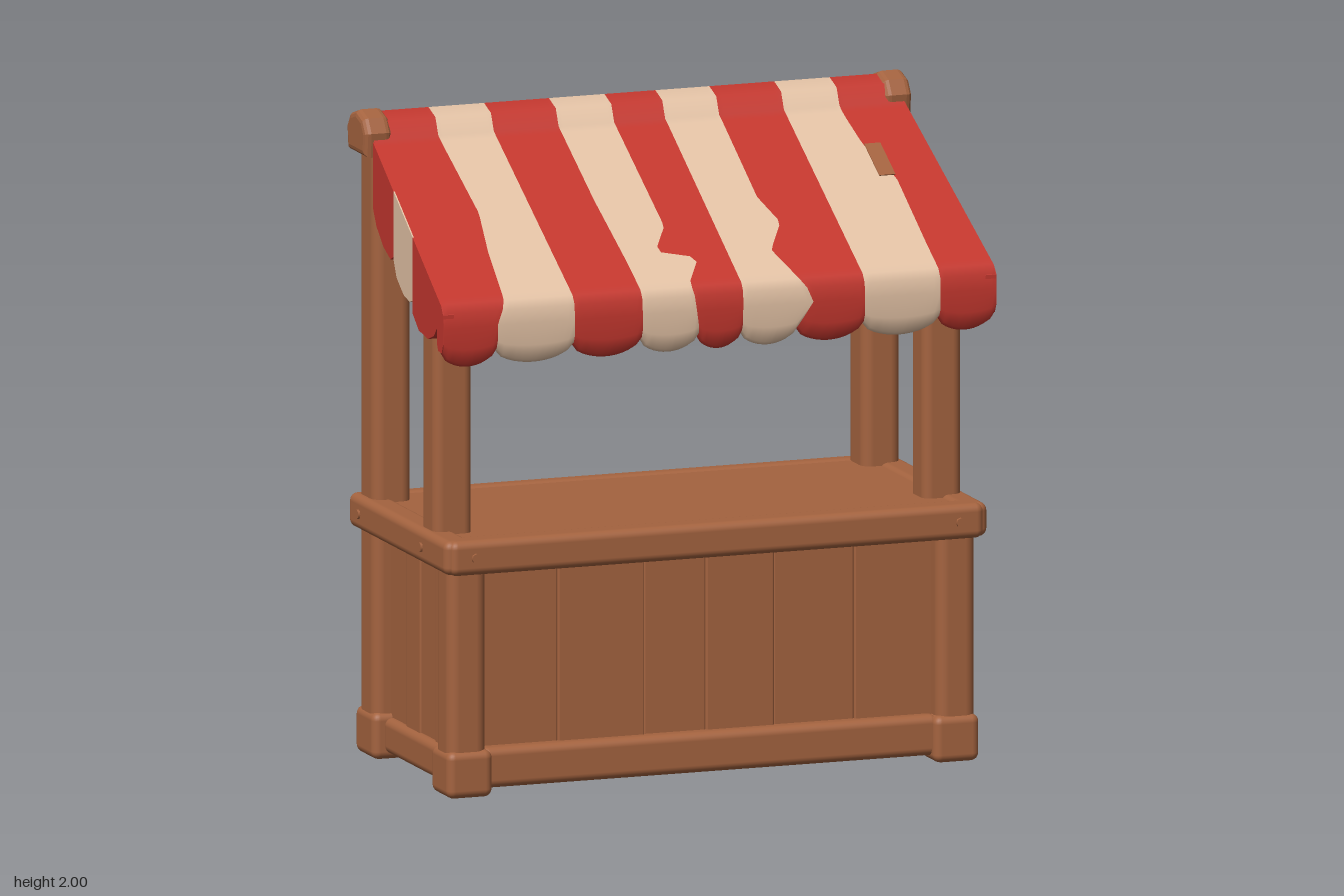
import * as THREE from 'three';
import { RoundedBoxGeometry } from 'three/addons/geometries/RoundedBoxGeometry.js';

const wood = new THREE.MeshStandardMaterial({ color: 0xa4633f });
const red = new THREE.MeshStandardMaterial({ color: 0xc4372e, side: THREE.DoubleSide });
const cream = new THREE.MeshStandardMaterial({ color: 0xe3c2a5, side: THREE.DoubleSide });
wood.name = 'wood';
red.name = 'red cloth';
cream.name = 'cream cloth';

const SLOPE = 0.557;
const roofY = (z) => 1.92 - SLOPE * (z + 0.255);
const halfWidth = (z) => (z < -0.26 ? 0.805 : 0.86 + 0.05 * (z + 0.25));

// Piecewise-linear lookup of x in a list of [y, x] points, y falling
function lookup(points, y) {
  if (y >= points[0][0]) return points[0][1];
  for (let i = 1; i < points.length; i++) {
    const [y0, x0] = points[i - 1], [y1, x1] = points[i];
    if (y >= y1) return x0 + (x1 - x0) * (y0 - y) / (y0 - y1);
  }
  return points[points.length - 1][1];
}

// Stripe borders from right to left, some of them ragged
const borders = [
  [[1.9, -0.65], [1.74, -0.64], [1.65, -0.67], [1.55, -0.69], [1.47, -0.72]],
  [[2, -0.47]],
  [[1.9, -0.26], [1.75, -0.26], [1.6, -0.25]],
  [[1.9, -0.08], [1.68, -0.08], [1.625, -0.145], [1.605, -0.02], [1.55, -0.085], [1.4, -0.065]],
  [[1.9, 0.085], [1.45, 0.075]],
  [[1.9, 0.26], [1.73, 0.255], [1.67, 0.29], [1.61, 0.22], [1.54, 0.265], [1.48, 0.31], [1.4, 0.255]],
  [[2, 0.47]],
  [[1.9, 0.65], [1.83, 0.665], [1.75, 0.72], [1.6, 0.715]],
];

// Closed awning section: [z, y, scallop weight]
function awningSection() {
  const rows = [[-0.34, 1.88, 0], [-0.395, 1.895, 0], [-0.42, 1.94, 0], [-0.4, 1.978, 0],
    [-0.34, 1.992, 0], [-0.28, 1.972, 0]];
  const steps = 28;
  for (let i = 0; i <= steps; i++) {
    const z = -0.255 + 0.68 * i / steps;
    rows.push([z, roofY(z), 0]);
  }
  rows.push([0.442, 1.515, 0], [0.445, 1.47, 0], [0.445, 1.42, 0.4], [0.435, 1.397, 0.9],
    [0.412, 1.39, 1], [0.39, 1.397, 0.9], [0.38, 1.42, 0.4], [0.38, 1.48, 0]);
  for (let i = 0; i <= steps; i++) {
    const z = 0.375 - 0.635 * i / steps;
    rows.push([z, roofY(z) - 0.035, 0]);
  }
  rows.push(rows[0]);
  return rows;
}

// One stripe swept along the section, between two borders
function stripeGeometry(index) {
  const rows = awningSection(), cols = 12, pos = [], idx = [];
  for (const [z, y, weight] of rows) {
    const a = index === 0 ? -halfWidth(z) : lookup(borders[index - 1], y);
    const b = index === 8 ? halfWidth(z) : lookup(borders[index], y);
    for (let c = 0; c <= cols; c++) {
      const u = c / cols;
      const drop = 0.048 * Math.sqrt(Math.abs(Math.sin(Math.PI * u)));
      pos.push(a + (b - a) * u, y - weight * drop, z);
    }
  }
  const n = cols + 1;
  for (let r = 0; r < rows.length - 1; r++) {
    for (let c = 0; c < cols; c++) {
      const i = r * n + c;
      idx.push(i, i + n, i + 1, i + 1, i + n, i + n + 1);
    }
  }
  const g = new THREE.BufferGeometry();
  g.setAttribute('position', new THREE.Float32BufferAttribute(pos, 3));
  g.setIndex(idx);
  g.computeVertexNormals();
  return g;
}

// Outline in (z, y) given thickness across x, centred on x = 0
function sideExtrude(outline, depth, bevel) {
  const shape = new THREE.Shape(outline.map(([z, y]) => new THREE.Vector2(z, y)));
  const g = new THREE.ExtrudeGeometry(shape, {
    depth, bevelEnabled: bevel > 0, bevelSize: bevel, bevelThickness: bevel, bevelSegments: 3,
  });
  return g.translate(0, 0, -depth / 2).rotateY(-Math.PI / 2);
}

// Side flap that follows the flare of the awning edge
function flapGeometry(outline, side) {
  const g = sideExtrude(outline, 0.036, 0);
  const p = g.attributes.position;
  for (let i = 0; i < p.count; i++) {
    p.setX(i, p.getX(i) + side * (halfWidth(p.getZ(i)) - 0.016));
  }
  g.computeVertexNormals();
  return g;
}

export function createModel() {
  const model = new THREE.Group();
  model.name = 'marketStall';

  const add = (name, geometry, material) => {
    const mesh = new THREE.Mesh(geometry, material);
    mesh.name = name;
    model.add(mesh);
    return mesh;
  };
  // Rounded timber given by its extents
  const timber = (name, x0, x1, y0, y1, z0, z1, radius = 0.025) => {
    const mesh = add(name, new RoundedBoxGeometry(x1 - x0, y1 - y0, z1 - z0, 3, radius), wood);
    mesh.position.set((x0 + x1) / 2, (y0 + y1) / 2, (z0 + z1) / 2);
  };
  // The same timber on both sides
  const pair = (name, x0, x1, ...rest) => {
    timber(name + 'Left', x0, x1, ...rest);
    timber(name + 'Right', -x1, -x0, ...rest);
  };

  // Posts and feet
  pair('backPost', 0.73, 0.855, 0.02, 1.93, -0.4, -0.262, 0.035);
  pair('lowerFrontPost', 0.73, 0.855, 0.02, 0.75, 0.26, 0.385, 0.035);
  pair('upperFrontPost', 0.73, 0.855, 0.75, 1.61, 0.14, 0.262, 0.03);
  pair('frontFoot', 0.715, 0.862, 0, 0.145, 0.24, 0.398);
  pair('backFoot', 0.715, 0.862, 0, 0.145, -0.415, -0.25);

  // Cabinet body with vertical planks
  timber('cabinet', -0.79, 0.79, 0.02, 0.72, -0.325, 0.315, 0.01);
  const cuts = [-0.74, -0.48, -0.2, 0, 0.22, 0.48, 0.74];
  for (let i = 0; i < 6; i++) {
    const out = i % 2 ? 0.01 : 0.004;
    timber('frontPlank', cuts[i], cuts[i + 1], 0.1, 0.71, 0.28, 0.318 + out, 0.006);
    timber('backPlank', cuts[i], cuts[i + 1], 0.03, 0.71, -0.33 - out, -0.29, 0.006);
  }
  const sideCuts = [-0.27, -0.12, 0, 0.13, 0.27];
  for (let i = 0; i < 4; i++) {
    const out = i % 2 ? 0.01 : 0.004;
    pair('sidePlank', 0.76, 0.795 + out, 0.03, 0.71, sideCuts[i], sideCuts[i + 1], 0.006);
  }
  timber('frontBaseRail', -0.74, 0.74, 0.02, 0.145, 0.27, 0.37);
  timber('backBaseRail', -0.74, 0.74, 0.02, 0.13, -0.365, -0.28);
  pair('sideBaseRail', 0.74, 0.825, 0.02, 0.13, -0.27, 0.27);

  // Counter: slab inside a rim of rails
  timber('counterSlab', -0.83, 0.83, 0.705, 0.794, -0.39, 0.39, 0.01);
  timber('counterFrontRail', -0.865, 0.865, 0.695, 0.803, 0.335, 0.43);
  timber('counterBackRail', -0.865, 0.865, 0.695, 0.8, -0.435, -0.365);
  pair('counterSideRail', 0.785, 0.88, 0.697, 0.803, -0.425, 0.42);

  // Worn spot of wood in the cloth
  const tilt = Math.atan(SLOPE);
  const patch = add('wornPatch', new THREE.BoxGeometry(0.052, 0.004, 0.15), wood);
  patch.rotation.x = tilt;
  patch.position.set(0.695, roofY(-0.027) + 0.001, -0.027);

  const capOutline = [[-0.06, 1.885], [0.06, 1.885], [0.066, 1.935], [0.045, 1.966], [0, 1.98],
    [-0.045, 1.966], [-0.066, 1.935]];
  // Scalloped side flaps, front to back
  const flaps = [
    [[0.425, 1.537], [0.14, roofY(0.14) - 0.005], [0.14, 1.46], [0.2, 1.42], [0.29, 1.41], [0.35, 1.43],
      [0.382, 1.46], [0.384, 1.41], [0.395, 1.393], [0.43, 1.393], [0.443, 1.42], [0.443, 1.512]],
    [[0.14, roofY(0.14) - 0.005], [-0.05, roofY(-0.05) - 0.005], [-0.05, 1.59], [-0.02, 1.54],
      [0.05, 1.5], [0.11, 1.49], [0.14, 1.5]],
    [[-0.05, roofY(-0.05) - 0.005], [-0.255, 1.914], [-0.255, 1.71], [-0.22, 1.66], [-0.15, 1.61],
      [-0.08, 1.585], [-0.05, 1.6]],
  ];
  for (const side of [-1, 1]) {
    // Domed cap on the back post
    add('backCap', sideExtrude(capOutline, 0.048, 0.02), wood).position.set(side * 0.843, 0, -0.338);

    // Sloping rafter under the cloth
    const rafter = add('rafter', new RoundedBoxGeometry(0.12, 0.12, 0.6, 3, 0.03), wood);
    rafter.rotation.x = tilt;
    rafter.position.set(side * 0.778, roofY(-0.02) - 0.1, -0.02);

    // Pegs at the counter corners
    for (const z of [0.21, -0.33]) {
      const peg = add('sidePeg', new THREE.CylinderGeometry(0.015, 0.015, 0.02, 8), wood);
      peg.rotation.z = Math.PI / 2;
      peg.position.set(side * 0.877, 0.75, z);
    }
    const peg = add('frontPeg', new THREE.CylinderGeometry(0.015, 0.015, 0.02, 8), wood);
    peg.rotation.x = Math.PI / 2;
    peg.position.set(side * 0.785, 0.75, 0.43);

    flaps.forEach((f, i) => add('awningSideFlap', flapGeometry(f, side), i === 1 ? cream : red));
  }

  // Striped awning
  for (let i = 0; i < 9; i++) add('awningStripe', stripeGeometry(i), i % 2 ? cream : red);
  return model;
}
